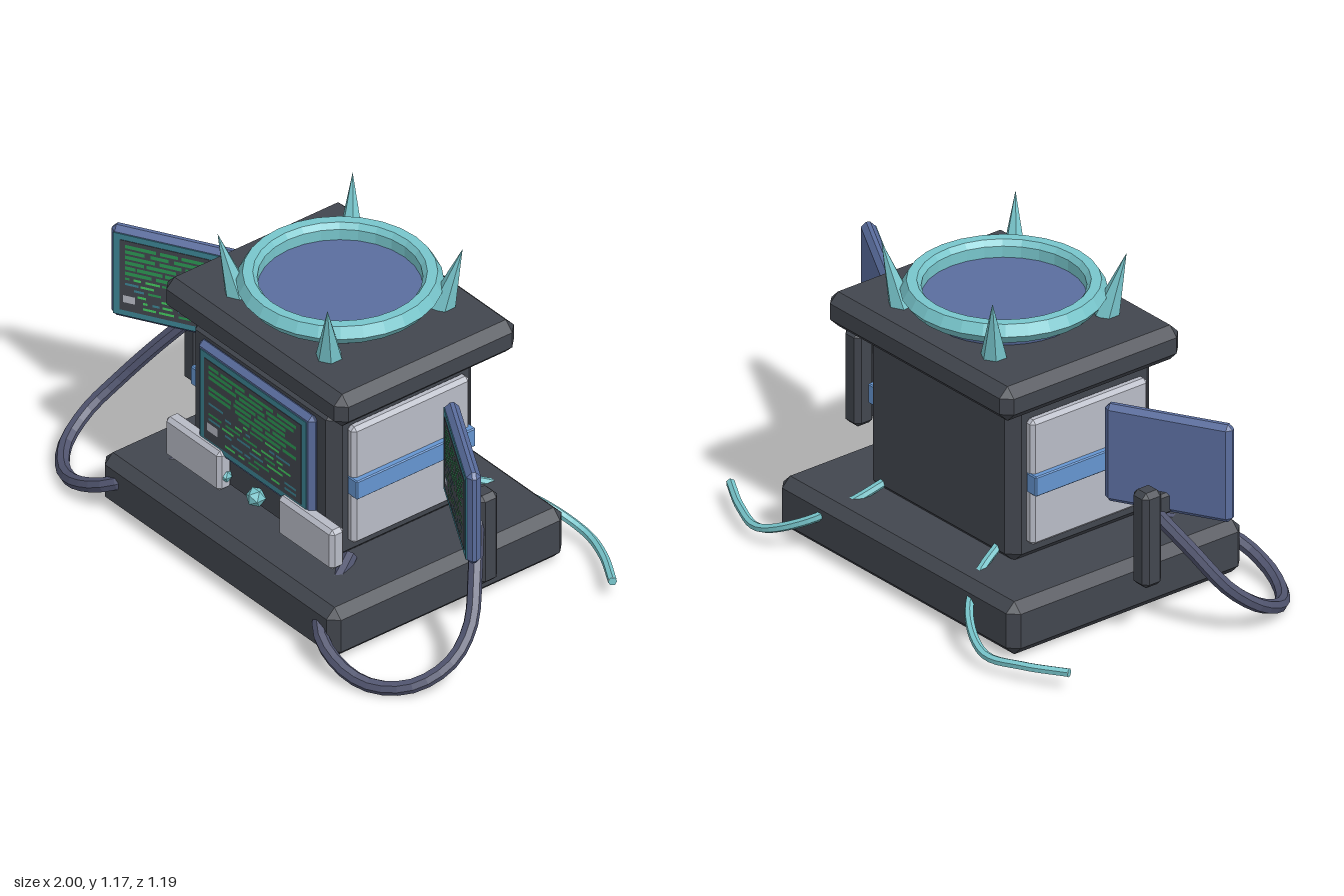
import * as THREE from 'three';
import { ConvexGeometry } from 'three/addons/geometries/ConvexGeometry.js';

const mat = (name, color) => {
  const m = new THREE.MeshStandardMaterial({ color });
  m.name = name;
  return m;
};

// Box with every edge chamfered by c
function chamferBox(w, h, d, c) {
  const pts = [];
  for (const x of [-1, 1]) for (const y of [-1, 1]) for (const z of [-1, 1]) {
    for (let axis = 0; axis < 3; axis++) {
      const inset = [c, c, c];
      inset[axis] = 0;
      pts.push(new THREE.Vector3(x * (w / 2 - inset[0]), y * (h / 2 - inset[1]), z * (d / 2 - inset[2])));
    }
  }
  return new ConvexGeometry(pts);
}

function faceted(geometry) {
  const g = geometry.index ? geometry.toNonIndexed() : geometry;
  g.computeVertexNormals();
  return g;
}

export function createModel() {
  const dark = mat('charcoal', 0x42464e);
  const blue = mat('slate blue', 0x5a6d9e);
  const sky = mat('sky blue', 0x6595d0);
  const pale = mat('pale grey', 0xb8bbc6);
  const aqua = mat('aqua', 0x78c6cc);
  const teal = mat('screen teal', 0x3c8494);
  const green = mat('code green', 0x2c9a54);
  const lime = mat('bright green', 0x44cc60);
  const rubber = mat('cable purple', 0x50546e);

  const model = new THREE.Group();
  const add = (parent, name, geometry, material, x = 0, y = 0, z = 0) => {
    const mesh = new THREE.Mesh(geometry, material);
    mesh.name = name;
    mesh.position.set(x, y, z);
    parent.add(mesh);
    return mesh;
  };
  // Chamfered block given by its limits on each axis
  const block = (name, material, [x0, x1], [y0, y1], [z0, z1], c) =>
    add(model, name, chamferBox(x1 - x0, y1 - y0, z1 - z0, c), material,
      (x0 + x1) / 2, (y0 + y1) / 2, (z0 + z1) / 2);
  const tube = (name, material, points, radius, sides, side) => {
    const curve = new THREE.CatmullRomCurve3(points.map(([x, y, z]) => new THREE.Vector3(x * side, y, z)));
    add(model, name, faceted(new THREE.TubeGeometry(curve, 28, radius, sides)), material);
    // End caps
    for (const t of [0, 1]) {
      const cap = add(model, name + 'End', new THREE.CircleGeometry(radius, sides), material);
      const p = curve.getPoint(t);
      cap.position.copy(p);
      cap.lookAt(p.clone().addScaledVector(curve.getTangent(t), t ? 1 : -1));
    }
  };

  // Small seeded generator for the lines of code
  let seed = 7;
  const rand = () => (seed = (seed * 16807) % 2147483647) / 2147483647;

  // Monitor with a framed screen filled with rows of dashes, facing +z
  function makeMonitor(name, w, h, d, sw, sh, rows) {
    const g = new THREE.Group();
    g.name = name;
    add(g, 'casing', chamferBox(w, h, d, 0.018), blue);
    const z = d / 2;
    add(g, 'screenBorder', new THREE.BoxGeometry(sw + 0.05, sh + 0.045, 0.004), teal, 0, 0, z + 0.001);
    add(g, 'screen', new THREE.BoxGeometry(sw, sh, 0.004), dark, 0, 0, z + 0.003);
    const step = sh * 0.92 / rows;
    for (let r = 0; r < rows; r++) {
      const y = sh * 0.46 - step * (r + 0.5);
      const upper = r < rows * 0.45;
      let x = -sw * (r > rows * 0.75 ? 0.28 : 0.45);
      while (x < sw * 0.36) {
        const len = Math.min(sw * (upper ? 0.1 + 0.2 * rand() : 0.04 + 0.12 * rand()), sw * 0.45 - x);
        const pick = rand();
        const material = upper ? green : pick < 0.35 ? lime : pick < 0.65 ? green : teal;
        if (rand() > 0.12)
          add(g, 'codeDash', new THREE.PlaneGeometry(len, step * (upper ? 0.62 : 0.42)), material, x + len / 2, y, z + 0.006);
        x += len + sw * (0.015 + 0.04 * rand());
      }
    }
    add(g, 'cursorBlock', new THREE.PlaneGeometry(sw * 0.11, sh * 0.1), pale, -sw * 0.41, -sh * 0.33, z + 0.007);
    model.add(g);
    return g;
  }

  // Stacked main housing
  block('base', dark, [-0.63, 0.63], [0.01, 0.21], [-0.48, 0.54], 0.035);
  block('body', dark, [-0.39, 0.39], [0.2, 0.815], [-0.285, 0.345], 0.04);
  block('cap', dark, [-0.485, 0.485], [0.81, 0.94], [-0.39, 0.39], 0.035);

  // Emitter lens and ring on the roof
  add(model, 'lens', faceted(new THREE.CylinderGeometry(0.285, 0.27, 0.05, 32)), blue, 0, 0.963, 0);
  const profile = [[0.28, 0.98], [0.325, 0.977], [0.352, 1.012], [0.33, 1.05], [0.295, 1.05], [0.28, 1.03], [0.28, 0.98]];
  add(model, 'ring', faceted(new THREE.LatheGeometry(profile.map(([x, y]) => new THREE.Vector2(x, y)), 28)), aqua);
  for (const sx of [-1, 1]) for (const sz of [-1, 1]) {
    const root = new THREE.Vector3(sx * 0.245, 0.935, sz * 0.245);
    const dir = new THREE.Vector3(sx * 0.295, 1.172, sz * 0.293).sub(root);
    const geo = faceted(new THREE.ConeGeometry(0.048, dir.length(), 6).translate(0, dir.length() / 2, 0));
    const spike = add(model, 'spike', geo, aqua);
    spike.position.copy(root);
    spike.quaternion.setFromUnitVectors(new THREE.Vector3(0, 1, 0), dir.normalize());
  }

  // Main monitor and the controls under it
  makeMonitor('mainMonitor', 0.62, 0.42, 0.04, 0.52, 0.325, 14).position.set(0, 0.56, 0.355);
  for (const [x, r] of [[-0.165, 0.025], [0, 0.036], [0.165, 0.025]])
    add(model, 'knob', new THREE.IcosahedronGeometry(r, 0), aqua, x, 0.285, 0.365);

  // Parts repeated on both sides
  for (const s of [-1, 1]) {
    const span = (a, b) => (s > 0 ? [a, b] : [-b, -a]);
    block('frontPlate', pale, span(0.155, 0.45), [0.23, 0.39], [0.34, 0.4], 0.014);
    block('sidePanel', pale, span(0.38, 0.425), [0.275, 0.75], [-0.225, 0.285], 0.014);
    block('sideStripe', sky, span(0.395, 0.447), [0.475, 0.55], [-0.228, 0.288], 0.004);
    block('post', dark, span(0.725, 0.805), [0.2, 0.56], [-0.045, 0.038], 0.018);
    block('monitorMount', dark, span(0.74, 0.79), [0.45, 0.53], [0.02, 0.09], 0.01);

    const monitor = makeMonitor('sideMonitor', 0.463, 0.37, 0.05, 0.385, 0.285, 12);
    monitor.position.set(s * 0.77, 0.635, 0.09);
    monitor.rotation.y = -s * THREE.MathUtils.degToRad(29);

    tube('monitorCable', rubber, [
      [0.77, 0.46, 0.03], [0.86, 0.33, 0.11], [0.945, 0.19, 0.2], [0.973, 0.1, 0.31], [0.93, 0.04, 0.44],
      [0.82, 0.026, 0.535], [0.69, 0.06, 0.57], [0.55, 0.12, 0.535], [0.4, 0.22, 0.28],
    ], 0.026, 7, s);
    tube('rearCable', aqua, [
      [0.3, 0.25, -0.27], [0.34, 0.195, -0.39], [0.44, 0.12, -0.515], [0.6, 0.055, -0.578],
      [0.75, 0.058, -0.535], [0.9, 0.065, -0.455],
    ], 0.016, 6, s);
  }
  return model;
}
